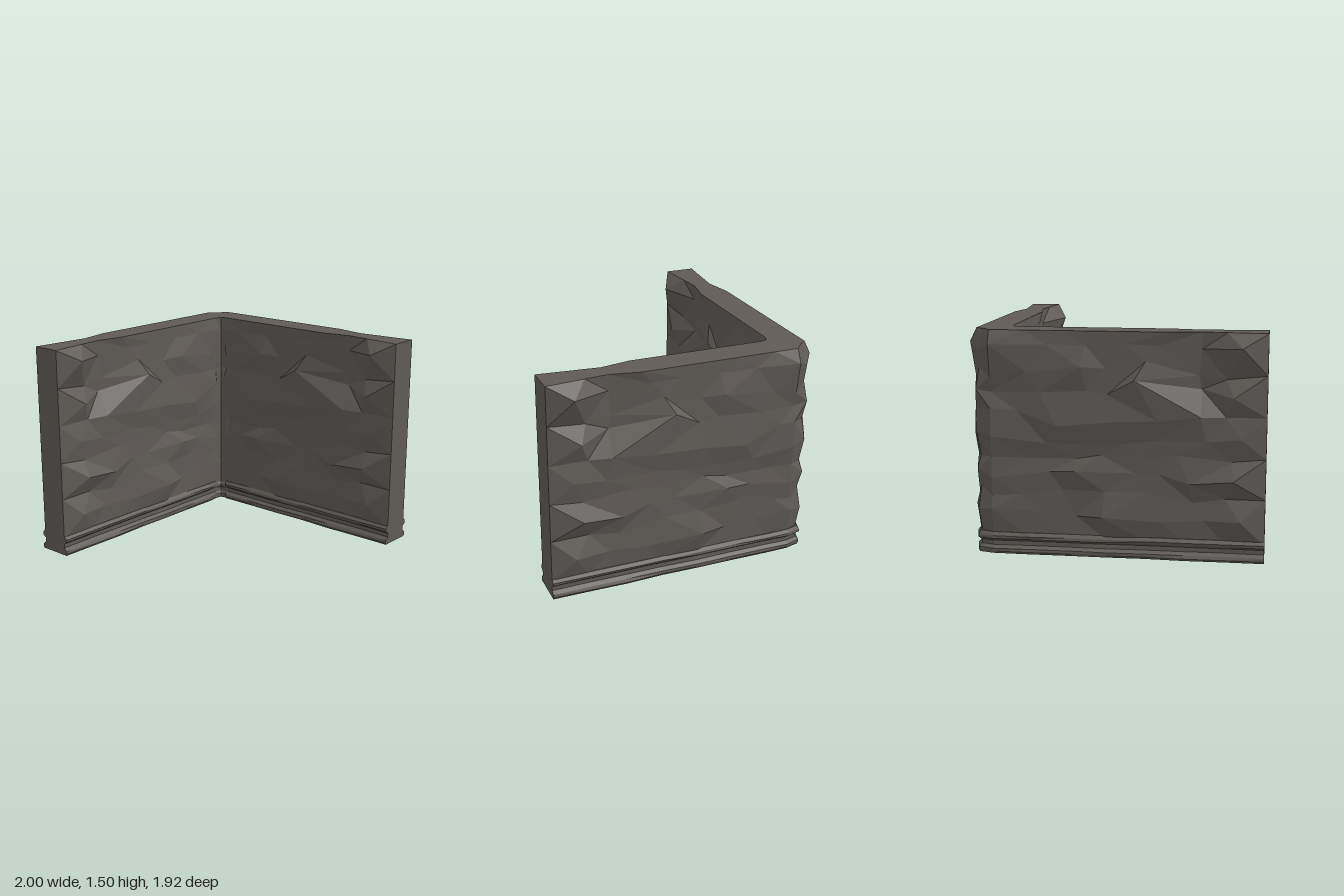
import * as THREE from 'three';

const X = { outer: 0.91, inner: 0.70 };    // faces of the right-hand wall
const Z = { outer: -0.88, inner: -0.67 };  // faces of the back wall
const END_X = -1, END_Z = 0.96, STEP = 0.26;
const MID = 8, COLS = 2 * MID + 1;         // columns along the L, mirrored at the corner

// Seeded value in -1..1 for a grid position
function noise(a, b, c) {
  const s = Math.sin(a * 127.1 + b * 311.7 + c * 74.7) * 43758.5453;
  return (s - Math.floor(s)) * 2 - 1;
}

// Place a point on one face of the L: column, side, height, relief depth, shift along the wall
function place(c, side, y, depth, shift) {
  const o = side === 'outer' ? 1 : -1;
  const j = Math.min(c, 2 * MID - c);
  if (j === MID) return [X[side] + o * depth * 0.7, y, Z[side] - o * depth * 0.7];
  const back = c < MID;
  const length = back ? X[side] - END_X : END_Z - Z[side];
  let u = j === 0 ? 0 : j * STEP + shift;
  if (j === MID - 1) {
    u = length - (o > 0 ? 0.11 : 0.06);
    if (o < 0) depth *= 0.4;
  }
  return back ? [END_X + u, y, Z[side] - o * depth] : [X[side] + o * depth, y, END_Z - u];
}

// Closed L-shaped solid; point(col, side, row) gives its surface
function lSolid(rows, point) {
  const pos = [], index = [], loop = 2 * rows;
  const rowOf = k => (k < rows ? k : loop - 1 - k);
  for (let c = 0; c < COLS; c++) {
    for (let k = 0; k < loop; k++) pos.push(...point(c, k < rows ? 'outer' : 'inner', rowOf(k)));
  }
  for (let c = 0; c < COLS - 1; c++) {
    for (let k = 0; k < loop; k++) {
      const n = (k + 1) % loop;
      const a = c * loop + k, d = c * loop + n, b = a + loop, e = d + loop;
      // The diagonal follows the staggered rows
      if ((rowOf(k) % 2 === 0) === (c < MID)) index.push(a, d, e, a, e, b);
      else index.push(a, d, b, d, e, b);
    }
  }
  // Flat ends
  const last = (COLS - 1) * loop;
  for (let r = 0; r < rows - 1; r++) {
    const o0 = r, o1 = r + 1, i0 = loop - 1 - r, i1 = loop - 2 - r;
    index.push(o0, i0, i1, o0, i1, o1);
    index.push(last + o0, last + i1, last + i0, last + o0, last + o1, last + i1);
  }
  const g = new THREE.BufferGeometry();
  g.setAttribute('position', new THREE.Float32BufferAttribute(pos, 3));
  g.setIndex(index);
  const flat = g.toNonIndexed();
  flat.computeVertexNormals();
  return flat;
}

// Rough wall: rows of staggered points, odd rows bulging slightly
const WALL_Y = [0.12, 0.28, 0.42, 0.55, 0.69, 0.82, 0.96, 1.09, 1.23, 1.41, 1.5];
const TOP = WALL_Y.length - 1;
// Bold chips and ledges: 'row,column': [depth, shift, lift]
const FEATURES = {
  // Top edge and the big knob near the free end
  '10,1': [-0.025, 0, 0], '10,2': [-0.04, -0.1, 0], '10,3': [0, -0.15, 0],
  '9,1': [0.085, 0.03, 0], '9,2': [-0.045, 0.03, -0.02], '9,3': [-0.01, 0.05, 0],
  '9,4': [0, 0, 0.01], '9,5': [0, 0, 0], '9,6': [0.01, 0, 0], '9,7': [0.045, 0, 0],
  // Chipped hollow with its ledge
  '8,1': [-0.025, 0, -0.03], '8,2': [-0.05, -0.08, -0.01], '8,3': [0, 0, 0.08], '8,4': [0, 0, 0.03],
  '7,1': [0.05, 0.08, 0], '7,2': [-0.055, 0.03, 0.04], '7,3': [0.04, 0.2, 0.1], '7,4': [0.005, 0.12, 0],
  '6,1': [0.005, 0, 0], '6,2': [0.035, -0.1, 0],
  // Long ledges
  '8,5': [0.035, -0.1, 0.04], '8,6': [0.02, 0, 0],
  '6,3': [0.035, -0.08, -0.03], '6,4': [0.025, 0, -0.05], '6,5': [0.035, 0.06, -0.08],
  '5,1': [0.03, 0.03, 0], '5,4': [0, 0, -0.05], '5,5': [0, 0, -0.06], '5,6': [0.01, 0, -0.06],
  // Low bumps
  '3,1': [0.065, 0.08, 0], '3,2': [0.035, 0.1, -0.03], '3,3': [0.01, 0.05, 0.03],
  '2,1': [-0.005, 0, 0], '2,2': [0, -0.05, -0.03], '2,3': [0.015, 0, 0.03],
  '1,1': [0.05, 0.03, 0], '1,4': [0.05, 0.15, 0],
};

function wallPoint(c, side, row) {
  const j = Math.min(c, 2 * MID - c), odd = row % 2;
  const stagger = odd ? -STEP / 2 : 0;
  let depth = 0, shift = 0, lift = 0;
  const f = FEATURES[row + ',' + j];
  if (f) [depth, shift, lift] = f;
  else if (j > 0 && row > 0 && row < TOP) {
    depth = odd ? 0.01 + 0.02 * noise(row, j, 1) : 0.004 + 0.016 * noise(row, j, 2);
    shift = 0.07 * noise(row, j, 3);
    lift = 0.04 * noise(row, j, 4);
  }
  // Ragged corner, blunted most along the top
  if (j === MID) {
    if (side === 'inner') depth = 0.02;
    else if (row >= TOP - 1) depth = row === TOP ? -0.085 : -0.03;
    else depth = odd ? -0.015 : -0.045;
  }
  return place(c, side, WALL_Y[row] + lift, depth, stagger + shift);
}

// Moulded skirting: two worn rolls with a groove between, as [height, depth]
const SKIRTING = [
  [0, 0.016], [0.015, 0.024], [0.035, 0.02], [0.055, -0.004],
  [0.085, -0.004], [0.103, 0.02], [0.122, 0.022], [0.145, 0.004],
];

function skirtingPoint(c, side, row) {
  const j = Math.min(c, 2 * MID - c);
  let [y, depth] = SKIRTING[row];
  // The wear runs along each roll as a gentle wave
  if (j > 0) depth += 0.005 * noise(row >> 1, j, 5);
  if (j === MID) depth += side === 'outer' ? -0.03 : 0.01;
  return place(c, side, y, depth, 0);
}

export function createModel() {
  const group = new THREE.Group();
  group.name = 'cornerWall';
  const stone = new THREE.MeshStandardMaterial({ color: 0x5f5a56, flatShading: true });
  const add = (name, geometry) => {
    const mesh = new THREE.Mesh(geometry, stone);
    mesh.name = name;
    group.add(mesh);
  };
  add('roughStoneWall', lSolid(WALL_Y.length, wallPoint));
  add('skirting', lSolid(SKIRTING.length, skirtingPoint));
  return group;
}
